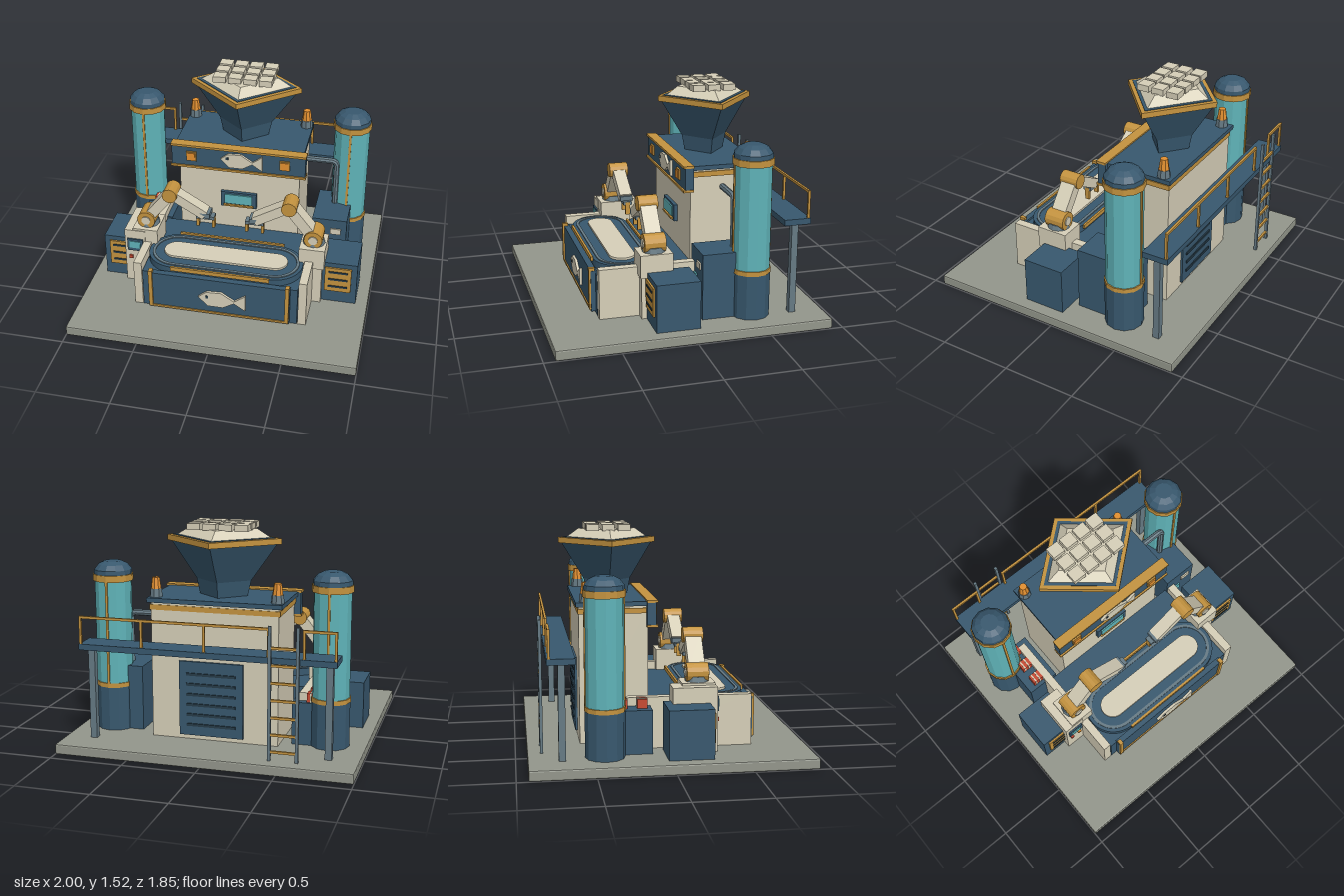
import * as THREE from 'three';
import { RoundedBoxGeometry } from 'three/addons/geometries/RoundedBoxGeometry.js';

const mat = (color) => new THREE.MeshStandardMaterial({ color, flatShading: true });
const BLUE = mat(0x38586e), CREAM = mat(0xd6cfb8), GOLD = mat(0xc4933f), TEAL = mat(0x5fb3b8);
const STEEL = mat(0x667a84), ORANGE = mat(0xe39030), RED = mat(0xc64a32), DARK = mat(0x263b48), STONE = mat(0x93968b);

export function createModel() {
  const model = new THREE.Group();
  const add = (name, geo, m, x = 0, y = 0, z = 0, parent = model) => {
    const mesh = new THREE.Mesh(geo, m);
    mesh.name = name;
    mesh.position.set(x, y, z);
    parent.add(mesh);
    return mesh;
  };
  // Box given by its min and max on each axis
  const box = (name, m, x0, x1, y0, y1, z0, z1, parent = model) =>
    add(name, new THREE.BoxGeometry(x1 - x0, y1 - y0, z1 - z0), m, (x0 + x1) / 2, (y0 + y1) / 2, (z0 + z1) / 2, parent);
  const cyl = (name, m, rTop, rBottom, y0, y1, x, z, sides = 12, parent = model) =>
    add(name, new THREE.CylinderGeometry(rTop, rBottom, y1 - y0, sides), m, x, (y0 + y1) / 2, z, parent);
  // Same box on both sides of the model
  const pair = (name, m, x0, x1, ...r) => {
    box(name, m, x0, x1, ...r);
    box(name, m, -x1, -x0, ...r);
  };
  // Square bar between two points
  const bar = (name, m, a, b, w, d, parent) => {
    const p = new THREE.Vector3(...a), q = new THREE.Vector3(...b);
    const mesh = add(name, new THREE.BoxGeometry(w, p.distanceTo(q), d), m, 0, 0, 0, parent);
    mesh.position.copy(p).lerp(q, 0.5);
    mesh.quaternion.setFromUnitVectors(new THREE.Vector3(0, 1, 0), q.sub(p).normalize());
    return mesh;
  };

  add('basePlate', new RoundedBoxGeometry(2, 0.07, 1.85, 1, 0.01), STONE, 0, 0.035, 0);

  // Main housing, roof and front fascia
  box('housing', CREAM, -0.435, 0.435, 0.07, 1.0, -0.57, -0.11);
  box('sideTrim', GOLD, -0.445, 0.445, 0.945, 0.98, -0.575, -0.12);
  box('roof', BLUE, -0.46, 0.46, 0.995, 1.025, -0.59, -0.06);
  box('fascia', BLUE, -0.48, 0.48, 0.865, 1.025, -0.12, -0.06);
  for (const y of [0.862, 1.027]) box('fasciaTrim', GOLD, -0.485, 0.485, y - 0.008, y + 0.008, -0.12, -0.048);
  for (const x of [-0.335, 0.335]) {
    box('lampFrame', GOLD, x - 0.036, x + 0.036, 0.912, 0.984, -0.07, -0.048);
    box('lamp', ORANGE, x - 0.028, x + 0.028, 0.92, 0.976, -0.07, -0.04);
  }
  box('windowFrame', BLUE, -0.13, 0.13, 0.54, 0.66, -0.12, -0.085);
  box('windowGlass', TEAL, -0.1, 0.1, 0.57, 0.645, -0.12, -0.075);
  box('windowSill', GOLD, -0.11, 0.11, 0.55, 0.562, -0.12, -0.07);

  // Fish plaques: angular body with a forked tail
  const fish = new THREE.Shape([[-0.155, 0.01], [-0.1, 0.055], [0, 0.06], [0.085, 0.005], [0.16, 0.06], [0.16, -0.06],
    [0.085, -0.01], [0.01, -0.055], [-0.09, -0.055]].map((p) => new THREE.Vector2(...p)));
  const fishGeo = new THREE.ExtrudeGeometry(fish, { depth: 0.02, bevelEnabled: false });
  for (const [y, z, s] of [[0.945, -0.062, 0.95], [0.22, 0.59, 1.05]]) {
    add('fishPlaque', fishGeo, CREAM, 0.025, y, z).scale.set(s, s, 1);
    box('fishEye', DARK, -0.085, -0.065, y + 0.01, y + 0.03, z, z + 0.024);
  }

  // Roof beacons
  for (const x of [-0.415, 0.415]) {
    cyl('beaconBase', STEEL, 0.04, 0.045, 1.02, 1.08, x, -0.52, 8);
    cyl('beacon', ORANGE, 0.026, 0.036, 1.08, 1.155, x, -0.52, 8);
  }

  // Diamond hopper, slightly squashed front to back
  const hopper = new THREE.Group();
  hopper.name = 'hopper';
  hopper.position.z = -0.34;
  hopper.scale.z = 0.85;
  model.add(hopper);
  cyl('hopperNeck', BLUE, 0.19, 0.165, 1.02, 1.13, 0, 0, 4, hopper);
  cyl('hopperFunnel', BLUE, 0.37, 0.19, 1.13, 1.385, 0, 0, 4, hopper);
  cyl('hopperRim', GOLD, 0.395, 0.395, 1.38, 1.418, 0, 0, 4, hopper);
  cyl('hopperLip', BLUE, 0.355, 0.355, 1.4, 1.422, 0, 0, 4, hopper);
  cyl('hopperFill', CREAM, 0.23, 0.325, 1.42, 1.478, 0, 0, 4, hopper);
  for (let i = 0; i < 4; i++) for (let j = 0; j < 3; j++) {
    const x = (i - 1.5) * 0.108, z = -0.345 + (j - 1) * 0.107;
    const block = box('block', CREAM, x - 0.045, x + 0.045, 1.472, 1.515, z - 0.042, z + 0.042);
    block.rotation.z = ((i + j) % 3 - 1) * 0.03;
  }

  // Storage tanks
  const dome = [[0.13, 0], [0.128, 0.03], [0.1, 0.065], [0.06, 0.085], [0, 0.085]].map((p) => new THREE.Vector2(...p));
  for (const x of [-0.757, 0.757]) {
    const z = -0.43;
    cyl('tankBase', BLUE, 0.13, 0.13, 0.07, 0.38, x, z);
    cyl('tankLowerCollar', GOLD, 0.134, 0.134, 0.375, 0.405, x, z);
    cyl('tankGlass', TEAL, 0.125, 0.125, 0.4, 1.11, x, z);
    cyl('tankUpperCollar', GOLD, 0.137, 0.137, 1.105, 1.15, x, z);
    add('tankDome', new THREE.LatheGeometry(dome, 12), BLUE, x, 1.15, z);
    for (const s of [-1, 1]) box('tankStrip', GOLD, x - 0.008, x + 0.008, 0.4, 1.11, z + s * 0.125 - 0.006, z + s * 0.125 + 0.006);
  }

  // Conveyor cabinet and loop-shaped table
  const stadium = (half, r) => {
    const s = new THREE.Shape();
    s.absarc(half, 0, r, -Math.PI / 2, Math.PI / 2);
    s.absarc(-half, 0, r, Math.PI / 2, Math.PI * 1.5);
    return s;
  };
  const slab = (name, m, half, r, y0, y1, hole) => {
    const s = stadium(half, r);
    if (hole) s.holes.push(stadium(half, hole));
    const geo = new THREE.ExtrudeGeometry(s, { depth: y1 - y0, bevelEnabled: false, curveSegments: 10 });
    add(name, geo.rotateX(-Math.PI / 2), m, 0, y0, 0.345);
  };
  box('conveyorCabinet', BLUE, -0.545, 0.545, 0.07, 0.355, -0.11, 0.56);
  box('conveyorFront', BLUE, -0.495, 0.495, 0.085, 0.37, 0.55, 0.592);
  box('frontTrim', GOLD, -0.49, 0.49, 0.09, 0.105, 0.56, 0.6);
  pair('frontCornerPost', GOLD, 0.465, 0.492, 0.1, 0.39, 0.565, 0.605);
  slab('conveyorTable', BLUE, 0.345, 0.2, 0.35, 0.405);
  slab('conveyorTrack', STEEL, 0.345, 0.175, 0.4, 0.412, 0.155);
  slab('conveyorIsland', CREAM, 0.35, 0.088, 0.4, 0.42);
  for (const z of [0.132, 0.552]) box('conveyorRail', GOLD, -0.39 + z * 0.08, 0.39 - z * 0.08, 0.385, 0.415, z - 0.008, z + 0.008);
  pair('sideWall', CREAM, 0.55, 0.607, 0.07, 0.415, -0.44, 0.56);

  // Side units with slotted gold vents
  pair('sideUnit', BLUE, 0.645, 0.915, 0.07, 0.395, -0.04, 0.255);
  pair('ventPanel', GOLD, 0.69, 0.875, 0.165, 0.36, 0.25, 0.268);
  for (let i = 0; i < 3; i++) pair('ventSlot', DARK, 0.715, 0.85, 0.2 + i * 0.06, 0.214 + i * 0.06, 0.26, 0.273);

  // Control console
  box('console', CREAM, -0.745, -0.595, 0.07, 0.5, 0.01, 0.305);
  box('consoleScreenFrame', BLUE, -0.725, -0.612, 0.335, 0.432, 0.3, 0.316);
  box('consoleScreen', TEAL, -0.708, -0.63, 0.36, 0.415, 0.3, 0.321);
  [RED, ORANGE].forEach((m, i) => box('consoleButton', m, -0.715 + i * 0.064, -0.69 + i * 0.064, 0.265, 0.29, 0.3, 0.318));

  // Robot arms, mirrored
  for (const s of [-1, 1]) {
    const arm = new THREE.Group();
    arm.name = s < 0 ? 'rightArm' : 'leftArm';
    arm.position.z = 0.19;
    model.add(arm);
    const joint = (name, m, x, y, r, len) => {
      add(name, new THREE.CylinderGeometry(r, r, len, 14).rotateX(Math.PI / 2), m, s * x, y, 0, arm);
    };
    box('armPedestal', CREAM, s * 0.595 - 0.09, s * 0.595 + 0.09, 0.36, 0.515, -0.11, 0.11, arm);
    box('armLeg', CREAM, s * 0.61 - 0.06, s * 0.61 + 0.06, 0.07, 0.37, -0.1, 0.1, arm);
    cyl('armFlange', STEEL, 0.07, 0.08, 0.51, 0.55, s * 0.595, 0, 12, arm);
    joint('shoulder', GOLD, 0.595, 0.57, 0.065, 0.145);
    joint('shoulderCap', CREAM, 0.595, 0.57, 0.032, 0.16);
    bar('upperArm', CREAM, [s * 0.595, 0.57, 0], [s * 0.42, 0.79, 0], 0.075, 0.11, arm);
    joint('elbow', GOLD, 0.42, 0.79, 0.053, 0.135);
    bar('forearm', CREAM, [s * 0.42, 0.79, 0], [s * 0.175, 0.645, 0], 0.07, 0.09, arm);
    box('wrist', STEEL, s * 0.175 - 0.035, s * 0.175 + 0.035, 0.63, 0.665, -0.045, 0.045, arm);
    box('palm', STEEL, s * 0.175 - 0.065, s * 0.175 + 0.065, 0.61, 0.635, -0.03, 0.03, arm);
    for (const d of [-0.056, 0.056]) box('finger', GOLD, s * 0.175 + d - 0.01, s * 0.175 + d + 0.01, 0.54, 0.63, -0.016, 0.016, arm);
  }

  // Pump cabinet with its pipe
  box('pumpCabinet', BLUE, 0.54, 0.79, 0.07, 0.52, -0.48, -0.09);
  box('cabinetLabel', CREAM, 0.675, 0.75, 0.405, 0.45, -0.1, -0.08);
  box('cabinetGauge', TEAL, 0.62, 0.665, 0.28, 0.35, -0.1, -0.08);
  const pipe = new THREE.CurvePath();
  const v = (x, y) => new THREE.Vector3(x, y, -0.335);
  pipe.add(new THREE.LineCurve3(v(0.43, 0.865), v(0.63, 0.865)));
  pipe.add(new THREE.QuadraticBezierCurve3(v(0.63, 0.865), v(0.67, 0.865), v(0.67, 0.825)));
  pipe.add(new THREE.LineCurve3(v(0.67, 0.825), v(0.67, 0.51)));
  add('pipe', new THREE.TubeGeometry(pipe, 30, 0.022, 8), STEEL);

  // Supply bench with striped cartons
  box('supplyBench', BLUE, -0.74, -0.51, 0.07, 0.36, -0.49, -0.12);
  for (const z of [-0.44, -0.31, -0.18]) {
    box('carton', RED, -0.685, -0.605, 0.36, 0.42, z - 0.033, z + 0.033);
    for (const x of [-0.665, -0.632]) box('cartonStripe', CREAM, x - 0.005, x + 0.005, 0.36, 0.423, z - 0.035, z + 0.035);
  }

  // Rear louvre
  box('rearLouvre', BLUE, -0.2, 0.24, 0.1, 0.61, -0.585, -0.565);
  for (let i = 0; i < 6; i++) box('louvreSlat', DARK, -0.15, 0.19, 0.165 + i * 0.07, 0.183 + i * 0.07, -0.593, -0.58);

  // Rear walkway with railings
  box('walkway', BLUE, -0.86, 0.86, 0.695, 0.735, -0.8, -0.62);
  pair('walkwayPost', STEEL, 0.78, 0.825, 0.07, 0.7, -0.73, -0.685);
  for (const [x0, x1, n] of [[-0.42, 0.85, 3], [-0.85, -0.65, 1]]) {
    box('handrail', GOLD, x0 - 0.008, x1 + 0.008, 0.905, 0.922, -0.793, -0.777);
    for (let i = 0; i <= n; i++) {
      const x = x0 + ((x1 - x0) * i) / n;
      box('railPost', GOLD, x - 0.008, x + 0.008, 0.73, 0.91, -0.793, -0.777);
    }
  }

  // Ladder
  for (const x of [-0.62, -0.44]) box('ladderRail', STEEL, x - 0.01, x + 0.01, 0.07, 0.945, -0.842, -0.822);
  for (let i = 0; i < 7; i++) box('ladderRung', GOLD, -0.62, -0.44, 0.12 + i * 0.113, 0.136 + i * 0.113, -0.84, -0.824);

  return model;
}
